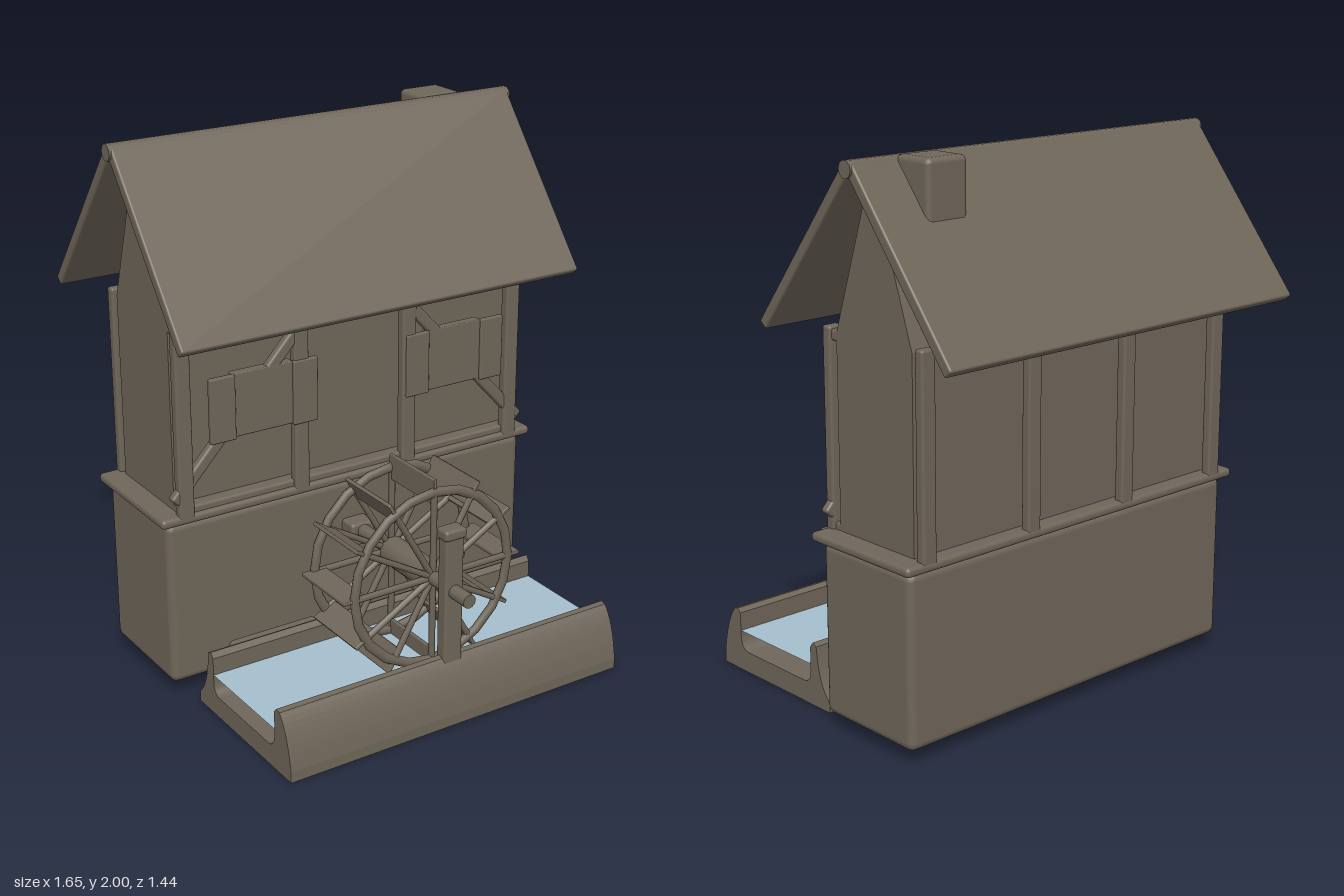
import * as THREE from 'three';
import { RoundedBoxGeometry } from 'three/addons/geometries/RoundedBoxGeometry.js';

export function createModel() {
  const model = new THREE.Group();
  model.name = 'watermill';
  const brown = new THREE.MeshStandardMaterial({ color: 0x6f6659 });
  brown.name = 'weathered brown';
  const blue = new THREE.MeshStandardMaterial({ color: 0xa5bfce, side: THREE.DoubleSide });
  blue.name = 'water blue';

  const add = (name, geometry, parent = model, material = brown) => {
    const mesh = new THREE.Mesh(geometry, material);
    mesh.name = name;
    parent.add(mesh);
    return mesh;
  };
  // Rounded block given by its minimum and maximum on each axis
  const block = (name, [x0, x1], [y0, y1], [z0, z1], r = 0.01, parent = model) => {
    const mesh = add(name, new RoundedBoxGeometry(x1 - x0, y1 - y0, z1 - z0, 2, r), parent);
    mesh.position.set((x0 + x1) / 2, (y0 + y1) / 2, (z0 + z1) / 2);
    return mesh;
  };
  // Shape drawn in (z, y), extruded along x and centred
  const extrudeAlongX = (shape, length) => {
    const g = new THREE.ExtrudeGeometry(shape, { depth: length, bevelEnabled: false, curveSegments: 8 });
    return g.translate(0, 0, -length / 2).rotateY(-Math.PI / 2);
  };

  // Stone base and sill
  block('stoneBase', [-0.77, 0.77], [0.05, 0.68], [-0.465, -0.01], 0.03);
  block('sill', [-0.8, 0.8], [0.68, 0.715], [-0.49, 0.015], 0.015);

  // Upper storey with gables
  const gable = new THREE.Shape();
  gable.moveTo(-0.43, 0.7);
  gable.lineTo(-0.05, 0.7);
  gable.lineTo(-0.05, 1.4);
  gable.lineTo(-0.24, 1.96);
  gable.lineTo(-0.43, 1.4);
  gable.closePath();
  add('upperWalls', extrudeAlongX(gable, 1.44));

  // Timber posts front and back
  for (const x of [-0.7, -0.23, 0.23, 0.7]) {
    block('frontPost', [x - 0.03, x + 0.03], [0.69, 1.42], [-0.025, 0.015]);
    block('backPost', [x - 0.03, x + 0.03], [0.69, 1.42], [-0.488, -0.45]);
  }
  block('lowerBeam', [-0.72, 0.72], [0.7, 0.74], [-0.06, 0.0]);
  block('upperBeam', [-0.72, 0.72], [1.37, 1.41], [-0.06, 0.0]);

  // Diagonal braces
  for (const s of [-1, 1]) {
    const brace = add('brace', new RoundedBoxGeometry(0.8, 0.045, 0.035, 2, 0.01));
    brace.position.set(s * 0.47, 1.06, -0.006);
    brace.rotation.z = -s * Math.atan2(0.58, 0.54);
  }

  // Windows with open shutters
  for (const x of [-0.385, 0.43]) {
    block('window', [x - 0.12, x + 0.12], [0.965, 1.2], [-0.025, 0.012], 0.004);
    for (const s of [-1, 1]) {
      const c = x + s * 0.167;
      block('shutter', [c - 0.05, c + 0.05], [0.96, 1.2], [0.0, 0.022], 0.005);
    }
  }

  // Roof slopes, ridge pole and chimney
  const pitch = Math.atan2(0.585, 0.465);
  for (const s of [-1, 1]) {
    const slope = add('roofSlope', new RoundedBoxGeometry(1.635, 0.04, 0.75, 2, 0.008));
    slope.position.set(0, 1.69, -0.24 + s * 0.2325);
    slope.rotation.x = s * pitch;
  }
  const ridge = add('ridgePole', new THREE.CylinderGeometry(0.03, 0.03, 1.65, 10));
  ridge.rotation.z = Math.PI / 2;
  ridge.position.set(0, 1.968, -0.24);
  block('chimney', [0.46, 0.63], [1.52, 2.0], [-0.41, -0.25], 0.02);
  block('eaveBracket', [0.17, 0.3], [1.48, 1.53], [-0.6, -0.45]);

  // Water channel
  const trough = new THREE.Shape();
  trough.moveTo(0.06, 0);
  trough.lineTo(0.69, 0);
  trough.lineTo(0.69, 0.04);
  trough.quadraticCurveTo(0.67, 0.18, 0.62, 0.235);
  trough.lineTo(0.6, 0.24);
  trough.lineTo(0.585, 0.225);
  trough.lineTo(0.585, 0.13);
  trough.quadraticCurveTo(0.58, 0.08, 0.54, 0.08);
  trough.lineTo(0.2, 0.08);
  trough.quadraticCurveTo(0.165, 0.085, 0.165, 0.13);
  trough.lineTo(0.165, 0.22);
  trough.lineTo(0.15, 0.24);
  trough.lineTo(0.13, 0.23);
  trough.quadraticCurveTo(0.12, 0.09, 0.06, 0.04);
  trough.closePath();
  add('waterChannel', extrudeAlongX(trough, 1.4));
  const water = add('water', new THREE.PlaneGeometry(1.4, 0.42), model, blue);
  water.rotation.x = -Math.PI / 2;
  water.position.set(0, 0.155, 0.375);
  block('channelSupport', [-0.56, -0.2], [0.05, 0.185], [0.02, 0.1], 0.015);

  // Axle with its bearing and outer post
  const axle = add('axle', new THREE.CylinderGeometry(0.026, 0.026, 0.72, 12));
  axle.rotation.x = Math.PI / 2;
  axle.position.set(0, 0.492, 0.36);
  block('axleBearing', [-0.05, 0.05], [0.435, 0.525], [-0.02, 0.06], 0.012);
  block('axlePost', [-0.038, 0.038], [0.1, 0.7], [0.582, 0.633]);
  block('postCap', [-0.045, 0.045], [0.69, 0.73], [0.575, 0.64], 0.012);

  // Water wheel
  const wheel = new THREE.Group();
  wheel.name = 'waterWheel';
  wheel.position.set(0, 0.492, 0.37);
  model.add(wheel);
  const hub = add('hub', new THREE.CylinderGeometry(0.055, 0.055, 0.25, 12), wheel);
  hub.rotation.x = Math.PI / 2;
  for (const z of [-0.127, 0.132]) {
    const rim = add('rim', new THREE.TorusGeometry(0.327, 0.019, 8, 20), wheel);
    rim.position.z = z;
    rim.scale.z = 0.7;
  }
  for (let i = 0; i < 12; i++) {
    const arm = new THREE.Group();
    arm.name = 'wheelArm';
    arm.rotation.z = (i * Math.PI) / 6;
    wheel.add(arm);
    block('paddle', [-0.007, 0.007], [0.28, 0.375], [-0.135, 0.14], 0.003, arm);
    for (const z of [-0.127, 0.132]) {
      const spoke = add('spoke', new THREE.CylinderGeometry(0.012, 0.012, 0.31, 6), arm);
      spoke.position.set(0, 0.17, z);
    }
  }
  return model;
}
